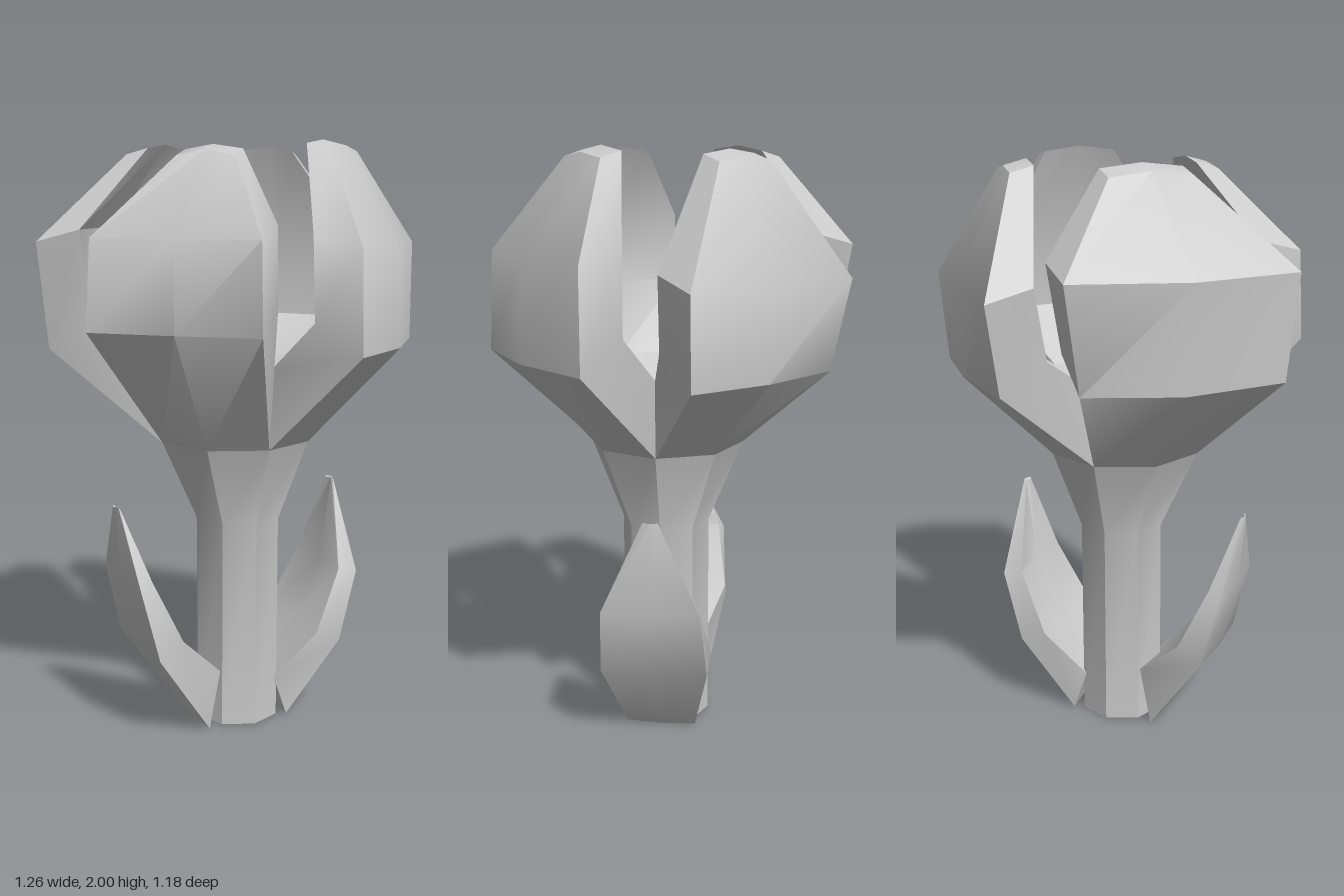
import * as THREE from 'three';
import { toCreasedNormals } from 'three/addons/utils/BufferGeometryUtils.js';

const material = new THREE.MeshStandardMaterial({ color: 0xcccccc, side: THREE.DoubleSide });

function addMesh(group, name, geometry) {
  const mesh = new THREE.Mesh(toCreasedNormals(geometry, 0.65), material);
  mesh.name = name;
  group.add(mesh);
}

// Skin stacked rings of six points: three outer, then three inner in reverse order.
function loft(rings, capStart) {
  const pos = [];
  const quad = (a, b, c, d) => [a, b, c, a, c, d].forEach((p) => pos.push(...p));
  for (let i = 0; i < rings.length - 1; i++) {
    const lo = rings[i], hi = rings[i + 1];
    for (let j = 0; j < 6; j++) {
      const k = (j + 1) % 6;
      quad(lo[j], lo[k], hi[k], hi[j]);
    }
  }
  const t = rings[rings.length - 1], b = rings[0];
  quad(t[0], t[1], t[4], t[5]);
  quad(t[1], t[2], t[3], t[4]);
  if (capStart) {
    quad(b[5], b[4], b[1], b[0]);
    quad(b[4], b[3], b[2], b[1]);
  }
  const geometry = new THREE.BufferGeometry();
  geometry.setAttribute('position', new THREE.Float32BufferAttribute(pos, 3));
  return geometry;
}

// Centre and radius of the flower base, shared by stem, bowl and petals
const CX = 0.005, CZ = 0.025, R = 0.265, BASE = 1.0, NOTCH = 1.26;

// Octagonal stem flaring into the flower base
function stemGeometry() {
  const levels = [[0, 0.15, 0.015], [0.72, 0.15, 0.018], [BASE, R, CX]];
  const pos = [];
  const point = ([y, r, cx], i) => {
    const a = (i * Math.PI) / 4;
    return [cx + r * Math.sin(a), y, CZ + r * Math.cos(a)];
  };
  for (let i = 0; i < 8; i++) {
    for (let l = 0; l < 2; l++) {
      const a = point(levels[l], i), b = point(levels[l], i + 1);
      const c = point(levels[l + 1], i + 1), d = point(levels[l + 1], i);
      pos.push(...a, ...b, ...c, ...a, ...c, ...d);
    }
    pos.push(0.015, 0, CZ, ...point(levels[0], i + 1), ...point(levels[0], i));
  }
  const geometry = new THREE.BufferGeometry();
  geometry.setAttribute('position', new THREE.Float32BufferAttribute(pos, 3));
  return geometry;
}

// Each petal: height of a row, then three outer [x, z] points going round the flower
const petals = [
  { name: 'frontLeftPetal', sx: 1, sz: 1, start: 0, rows: [
    [1.33, [0.17, 0.59], [0.41, 0.43], [0.6, 0.2]],
    [1.66, [0.17, 0.575], [0.4, 0.42], [0.6, 0.2]],
    [1.96, [0.2, 0.32], [0.3, 0.25], [0.39, 0.17]]] },
  { name: 'backLeftPetal', sx: 1, sz: -1, start: 2, rows: [
    [1.29, [0.6, -0.13], [0.42, -0.35], [0.19, -0.53]],
    [1.59, [0.63, -0.13], [0.43, -0.375], [0.2, -0.59]],
    [1.95, [0.36, -0.185], [0.3, -0.26], [0.24, -0.33]]] },
  { name: 'backRightPetal', sx: -1, sz: -1, start: 4, rows: [
    [1.32, [-0.08, -0.53], [-0.37, -0.4], [-0.6, -0.12]],
    [1.67, [-0.06, -0.59], [-0.4, -0.41], [-0.635, -0.12]],
    [1.95, [-0.095, -0.34], [-0.2, -0.255], [-0.3, -0.165]]] },
  { name: 'frontRightPetal', sx: -1, sz: 1, start: 6, rows: [
    [1.4, [-0.57, 0.16], [-0.36, 0.36], [-0.15, 0.54]],
    [1.69, [-0.555, 0.165], [-0.36, 0.36], [-0.155, 0.54]],
    [1.94, [-0.265, 0.17], [-0.2, 0.24], [-0.13, 0.31]]] },
];

function petalGeometry({ sx, sz, start, rows }) {
  const arc = (y) => [0, 1, 2].map((i) => {
    const a = ((start + i) * Math.PI) / 4;
    return [CX + R * Math.sin(a), y, CZ + R * Math.cos(a)];
  });
  const rings = [[...arc(BASE), ...arc(NOTCH).reverse()]];
  // Inner skin is the outer one moved towards the middle of the flower
  const inset = [0.11, 0.11, 0.055], rise = [0.1, 0.04, 0.02];
  rows.forEach(([y, ...pts], i) => {
    const outer = pts.map(([x, z]) => [x, y, z]);
    const inner = pts.map(([x, z]) => [x - sx * inset[i], y + rise[i], z - sz * inset[i]]);
    if (i === 2) { outer[1][1] += 0.015; inner[1][1] += 0.015; }
    rings.push([...outer, ...inner.reverse()]);
  });
  return loft(rings, false);
}

// Curved leaf; s = 1 on the left, -1 on the right
// Rows: outer x, outer y, inner x, inner y, outer half width, inner half width
function leafGeometry(s, rows) {
  const rings = rows.map(([ox, oy, ix, iy, ow, iw]) => {
    const p = (x, y, z) => [s * x, y, 0.025 + s * z];
    return [p(ox - 0.01, oy, ow), p(ox, oy, 0), p(ox - 0.01, oy, -ow),
      p(ix, iy, -iw), p(ix + 0.01, iy, 0), p(ix, iy, iw)];
  });
  return loft(rings, true);
}

export function createModel() {
  const model = new THREE.Group();
  model.name = 'flower';

  addMesh(model, 'stem', stemGeometry());

  // Bowl floor between the petals
  const profile = [[0, 1.13], [0.14, 1.17], [R, NOTCH]].map(([r, y]) => new THREE.Vector2(r, y));
  const bowl = new THREE.LatheGeometry(profile, 8).translate(CX, 0, CZ);
  addMesh(model, 'bowl', bowl);

  petals.forEach((petal) => addMesh(model, petal.name, petalGeometry(petal)));

  addMesh(model, 'leftLeaf', leafGeometry(1, [
    [0.165, 0, 0.11, 0.14, 0.12, 0.11],
    [0.345, 0.27, 0.24, 0.31, 0.18, 0.185],
    [0.418, 0.51, 0.345, 0.52, 0.165, 0.15],
    [0.4, 0.82, 0.385, 0.815, 0.025, 0.02]]));
  addMesh(model, 'rightLeaf', leafGeometry(-1, [
    [0.155, 0, 0.1, 0.2, 0.12, 0.11],
    [0.362, 0.3, 0.27, 0.36, 0.18, 0.185],
    [0.422, 0.55, 0.365, 0.57, 0.165, 0.15],
    [0.442, 0.8, 0.425, 0.795, 0.025, 0.02]]));

  return model;
}
